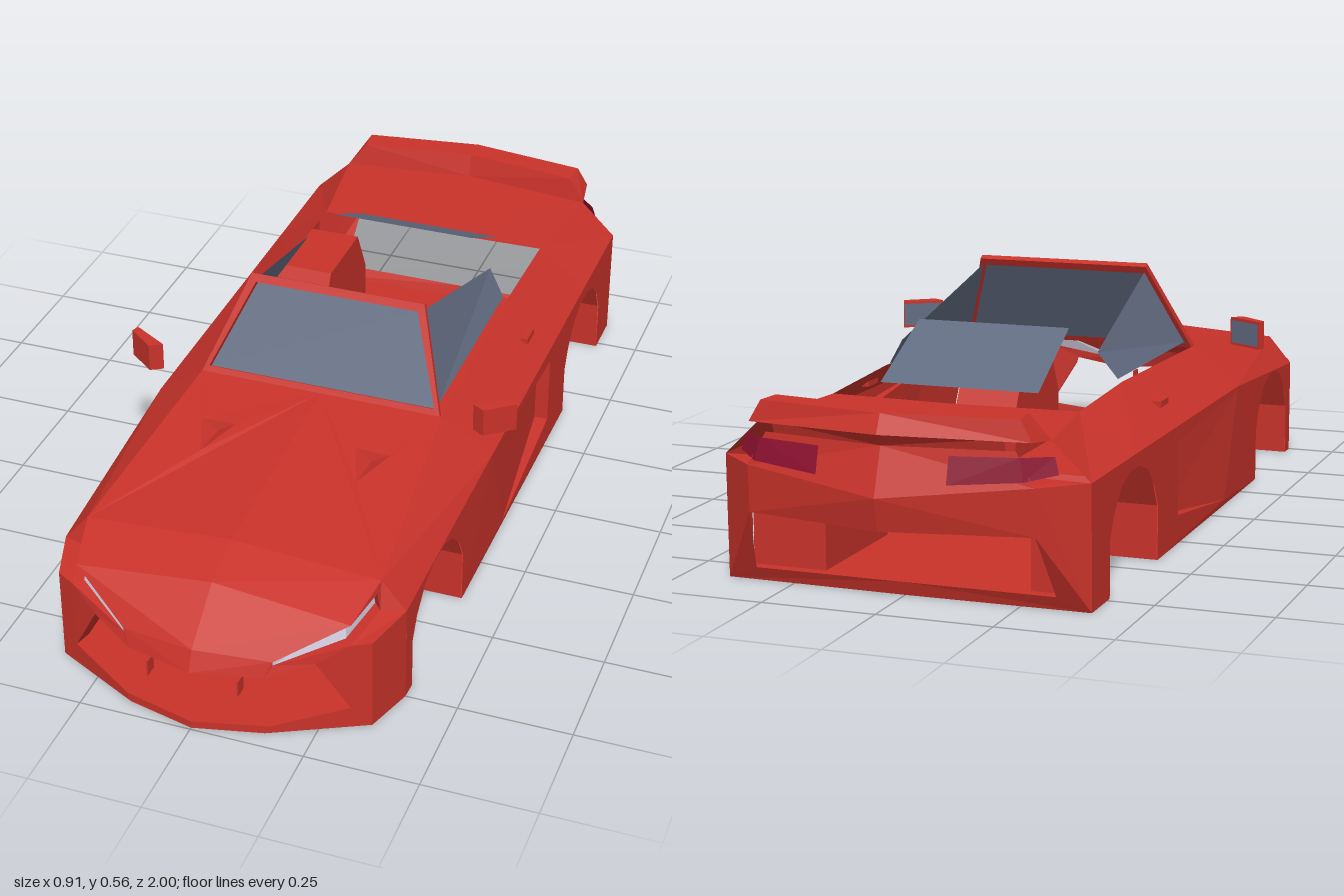
import * as THREE from 'three';

const solid = color => new THREE.MeshStandardMaterial({ color, flatShading: true, side: THREE.DoubleSide });
const paint = solid(0xc8322a);
const glass = solid(0x626c82);
const lamp = solid(0xc9c4d6);
const tail = solid(0x8c1030);
const rearGlass = new THREE.MeshStandardMaterial({ color: 0x626c82, flatShading: true });

// Fans flat polygons into triangles, mirrors them in x and turns each one outward
function panels(polys, mirror = true) {
  const out = [], [a, b, c] = [0, 1, 2].map(() => new THREE.Vector3());
  const n = new THREE.Vector3(), mid = new THREE.Vector3(), core = new THREE.Vector3();
  for (const s of mirror ? [1, -1] : [1]) {
    for (const p of polys) {
      for (let i = 1; i < p.length - 1; i++) {
        [[a, p[0]], [b, p[i]], [c, p[i + 1]]].forEach(([v, q]) => v.set(q[0] * s, q[1], q[2]));
        n.subVectors(b, a).cross(mid.subVectors(c, a));
        mid.copy(a).add(b).add(c).divideScalar(3);
        core.set(0, 0.15, THREE.MathUtils.clamp(mid.z, -0.7, 0.7));
        const order = n.dot(mid.sub(core)) < 0 ? [a, c, b] : [a, b, c];
        order.forEach(v => out.push(v.x, v.y, v.z));
      }
    }
  }
  const g = new THREE.BufferGeometry();
  g.setAttribute('position', new THREE.Float32BufferAttribute(out, 3));
  g.computeVertexNormals();
  return g;
}

function shapeOf(pts, hole) {
  const toV = p => new THREE.Vector2(p[0], p[1]);
  const s = new THREE.Shape(pts.map(toV));
  if (hole) s.holes.push(new THREE.Path(hole.map(toV)));
  return s;
}

// Triangulates a flat shape and lifts each of its points into space
function sheet(shape, lift) {
  const g = new THREE.ShapeGeometry(shape).toNonIndexed(), p = g.attributes.position, tris = [];
  for (let i = 0; i < p.count; i += 3) {
    tris.push([i, i + 1, i + 2].map(k => lift(p.getX(k), p.getY(k))));
  }
  return panels(tris);
}

export function createModel() {
  const car = new THREE.Group();
  const add = (name, geo, mat = paint) => {
    const m = new THREE.Mesh(geo, mat);
    m.name = name;
    car.add(m);
    return m;
  };

  // Wheel arch outline as (z, y), from front foot to rear foot
  const arch = zc => [[0.16, 0], [0.16, 0.12], [0.135, 0.168], [0.085, 0.217], [0.03, 0.235],
    [-0.03, 0.235], [-0.085, 0.217], [-0.135, 0.168], [-0.16, 0.12], [-0.16, 0]].map(([z, y]) => [zc + z, y]);
  const wheels = [0.55, -0.575];
  const sideX = z => 0.4 - Math.max(0, z - 0.2) * 0.027;

  // Body sides with arches cut out and an opening for the sculpted door
  const door = [[0.2, 0.258], [-0.27, 0.23], [-0.27, 0.065], [0.1, 0.015]];
  const side = shapeOf([[0.75, 0], ...arch(wheels[0]), ...arch(wheels[1]),
    [-0.845, 0], [-0.85, 0.265], [0.2, 0.265], [0.75, 0.225]], door);
  add('bodySides', sheet(side, (z, y) => [sideX(z), y, z]));

  // Door surface sinking toward the rear, with a step behind it
  const [d0, e1, e2, d3] = door.map(([z, y]) => [0.4, y, z]);
  const d1 = [0.368, 0.23, -0.27], d2 = [0.368, 0.065, -0.27];
  add('doors', panels([[d0, d1, d2, d3], [d1, d2, e2, e1], [d0, d1, e1], [d3, d2, e2]]));

  // Wheel wells: faceted tunnel with an inner wall
  wheels.forEach((zc, w) => {
    const a = [[0.16, 0], [0.16, 0.12], [0.1, 0.235], [-0.1, 0.235], [-0.16, 0.12], [-0.16, 0]]
      .map(([z, y]) => [zc + z, y]);
    const polys = [a.map(([z, y]) => [0.23, y, z])];
    for (let i = 0; i < a.length - 1; i++) {
      const [z0, y0] = a[i], [z1, y1] = a[i + 1];
      polys.push([[0.23, y0, z0], [sideX(z0) - 0.002, y0, z0], [sideX(z1) - 0.002, y1, z1], [0.23, y1, z1]]);
    }
    add(w ? 'rearWheelWells' : 'frontWheelWells', panels(polys));
  });

  // Floor pan notched around the wheels
  const half = [[0, 0.995], [0.15, 0.96], [0.35, 0.86], [0.385, 0.75]];
  wheels.forEach(z => half.push([sideX(z + 0.16), z + 0.16], [0.23, z + 0.16],
    [0.23, z - 0.16], [sideX(z - 0.16), z - 0.16]));
  half.push([0.4, -0.845], [0, -0.85]);
  const outline = [...half, ...half.slice(1, -1).reverse().map(([x, z]) => [-x, z])];
  add('floor', new THREE.ShapeGeometry(shapeOf(outline)).rotateX(Math.PI / 2));

  // Nose and fender corners
  const A0 = [0, 0.145, 0.995], A1 = [0.15, 0.145, 0.96], B0 = [0, 0.19, 0.975], B1 = [0.165, 0.18, 0.945];
  const L1 = [0.165, 0.172, 0.945], L2 = [0.31, 0.212, 0.88], L3 = [0.335, 0.23, 0.77];
  const L4 = [0.328, 0.27, 0.77], L5 = [0.305, 0.252, 0.865], M = [0.245, 0.172, 0.912];
  const C0 = [0, 0.28, 0.86], D0 = [0, 0.312, 0.75], D1 = [0.33, 0.29, 0.75];
  const F = [0.385, 0.225, 0.75], K = [0.35, 0.215, 0.86];
  add('nose', panels([[A0, A1, B1, B0], [A1, L1, B1], [A1, M, L1], [L1, M, L2],
    [B0, B1, L5, C0], [C0, L5, D1, D0], [L5, L4, D1]]));
  add('fenderCorners', panels([[L2, K, F, L3], [L3, F, D1, L4]]));

  // Headlights set back under the edge of the nose
  const sunk = ([x, y, z]) => [x - 0.018, y, z - 0.02];
  const [l2, l3, l4, l5] = [L2, L3, L4, L5].map(sunk);
  add('headlights', panels([[L1, l2, l5, B1], [l2, l3, l4, l5]]), lamp);
  add('headlightReveals', panels([[B1, L5, l5], [L1, L2, l2], [L2, L3, l3, l2], [L3, L4, l4, l3], [L4, L5, l5, l4]]));

  // Bonnet with a triangular vent sunk into each half
  const bonnetAt = (x, z) => [x, 0.352 - (0.04 + 0.067 * x) * (z - 0.22) / 0.53, z];
  const vent = [[0.14, 0.38], [0.22, 0.38], [0.18, 0.485]];
  add('bonnet', sheet(shapeOf([[0, 0.22], [0.285, 0.22], [0.33, 0.75], [0, 0.75]], vent), bonnetAt));
  const [va, vb, vc] = vent.map(p => bonnetAt(...p)), vd = [0.18, 0.315, 0.385];
  add('bonnetVents', panels([[va, vd, vc], [vb, vd, vc], [va, vb, vd]]));

  // Front bumper around the open grille
  const S0 = [0.35, 0, 0.86], S1 = [0.31, 0.05, 0.88], S2 = [0.16, 0.017, 0.955], S3 = [0.16, 0, 0.955];
  add('frontBumper', panels([[[0.385, 0, 0.75], F, K, S0], [S0, K, L2, S1], [S1, L2, M],
    [S0, S1, S2, S3], [S3, S2, [0, 0.017, 0.995], [0, 0, 0.995]]]));
  add('grilleReveal', panels([[S1, M, [0.235, 0.165, 0.87], [0.3, 0.05, 0.84]]]));

  // Shoulders from fender to tail
  const inner = [D1, [0.285, 0.352, 0.22], [0.28, 0.36, -0.3], [0.28, 0.348, -0.58], [0.317, 0.345, -0.85]];
  const outer = [F, ...[0.2, -0.3, -0.58, -0.85].map(z => [0.4, 0.265, z])];
  add('shoulders', panels(inner.slice(1).map((p, i) => [inner[i], p, outer[i + 1], outer[i]])));
  add('rearDeck', panels([[[0, 0.345, -0.58], inner[3], inner[4], [0, 0.345, -0.89]]]));

  // Rear bumper with open lower section and a ledge below the lights
  const G = [0.4, 0, -0.845], H = outer[4], J = [0.31, 0.265, -0.93], K1 = [0.31, 0.165, -0.925];
  const O1 = [0.33, 0.03, -0.86], T0 = [0, 0.335, -0.965], T1 = [0.27, 0.335, -0.925], P = [0, 0.235, -1];
  add('rearBumper', panels([[G, H, J, K1, O1], [G, O1, [0, 0.03, -0.86], [0, 0, -0.85]],
    [K1, J, P, [0, 0.165, -0.985]], [J, P, T0, T1], [H, J, [0.25, 0.268, -0.93], [0.25, 0.268, -0.85]]]));
  add('taillights', panels([
    [[0.14, 0.266, -0.968], [0.29, 0.277, -0.939], [0.28, 0.324, -0.932], [0.14, 0.322, -0.953]],
    [[0.29, 0.277, -0.939], [0.345, 0.285, -0.885], [0.335, 0.32, -0.88], [0.28, 0.324, -0.932]]]), tail);

  // Raised tail spoiler with sloping ends
  const u0 = [0, 0.4, -0.905], u1 = [0.275, 0.4, -0.865], v0 = [0, 0.4, -0.965], v1 = [0.28, 0.4, -0.925];
  const w0 = [0, 0.36, -0.985], w1 = [0.305, 0.355, -0.93], q1 = inner[4];
  add('spoiler', panels([[[0, 0.345, -0.89], q1, u1, u0], [u0, u1, v1, v0], [v0, v1, w1, w0],
    [q1, u1, v1, w1], [T0, [0.25, 0.335, -0.928], [0.25, 0.36, -0.937], w0]]));

  // Windscreen frame and glass, leaning back
  const frame = shapeOf([[-0.283, 0], [0.283, 0], [0.205, 0.238], [-0.205, 0.238]],
    [[-0.268, 0.014], [0.268, 0.014], [0.192, 0.219], [-0.192, 0.219]]);
  const screen = new THREE.Group();
  screen.name = 'windscreen';
  const rim = new THREE.Mesh(new THREE.ExtrudeGeometry(frame, { depth: 0.014, bevelEnabled: false }), paint);
  rim.name = 'windscreenFrame';
  const pane = new THREE.Mesh(new THREE.ShapeGeometry(
    shapeOf([[-0.27, 0.012], [0.27, 0.012], [0.193, 0.22], [-0.193, 0.22]])), glass);
  pane.name = 'windscreenGlass';
  screen.add(rim, pane);
  screen.position.set(0, 0.348, 0.214);
  screen.rotation.x = -0.53;
  car.add(screen);

  // Side and rear windows
  add('sideWindows', panels([[[0.27, 0.365, 0.19], [0.2, 0.54, 0.1], [0.23, 0.425, -0.32], [0.27, 0.365, -0.3]]]), glass);
  add('rearWindow', panels([[[0, 0.375, -0.555], [0.18, 0.375, -0.555], [0.175, 0.48, -0.35], [0, 0.48, -0.35]]]), rearGlass);

  // Mirrors, handles and plate brackets on both sides
  for (const s of [1, -1]) {
    const plan = [[0.367, 0.25], [0.45, 0.2], [0.457, 0.218], [0.395, 0.267]].map(([x, z]) => [x * s, z]);
    const shell = new THREE.ExtrudeGeometry(shapeOf(plan), { depth: 0.065, bevelEnabled: false });
    add('mirror', shell.rotateX(Math.PI / 2).translate(0, 0.421, 0));
    add('mirrorGlass', panels([[[0.371 * s, 0.362, 0.247], [0.447 * s, 0.362, 0.2],
      [0.447 * s, 0.415, 0.2], [0.371 * s, 0.415, 0.247]]], false).translate(0, 0, -0.002), glass);
    const handle = add('doorHandle', new THREE.BoxGeometry(0.02, 0.014, 0.055));
    handle.position.set(0.348 * s, 0.308, -0.24);
    const tab = add('plateBracket', new THREE.BoxGeometry(0.004, 0.037, 0.03));
    tab.position.set(0.1 * s, 0.118, 0.965);
  }
  return car;
}
